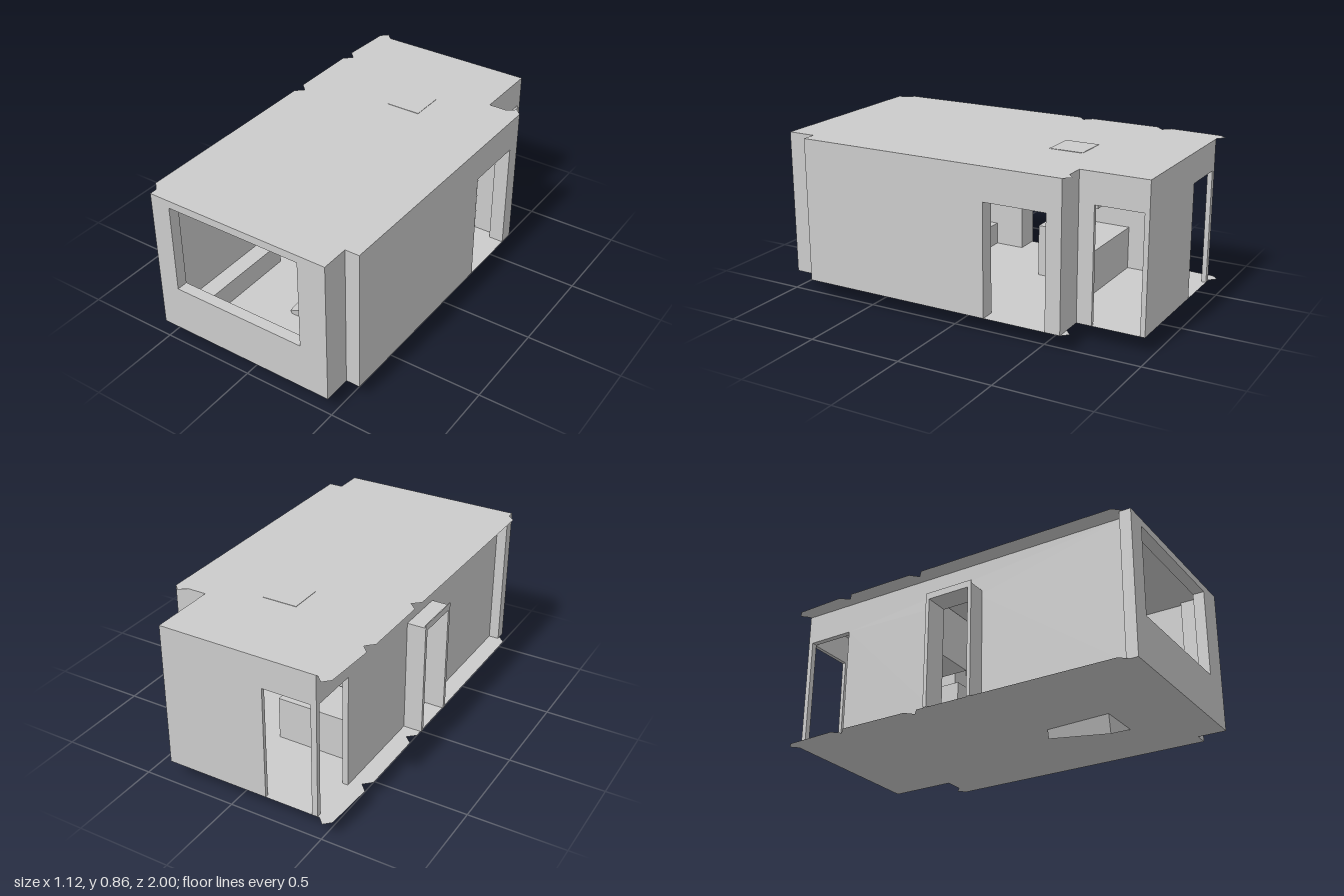
import * as THREE from 'three';

const FLOOR = 0.09, ROOF = 0.855, DOOR = 0.695;

export function createModel() {
  const room = new THREE.Group();
  room.name = 'room';
  const mat = new THREE.MeshStandardMaterial({ color: 0xcccccc, flatShading: true });
  const thinMat = new THREE.MeshStandardMaterial({ color: 0xcccccc, side: THREE.DoubleSide });

  function add(name, geometry, material = mat) {
    const mesh = new THREE.Mesh(geometry, material);
    mesh.name = name;
    room.add(mesh);
    return mesh;
  }

  // Box given by its lower and upper limits on each axis
  function box(name, x0, x1, y0, y1, z0, z1) {
    const mesh = add(name, new THREE.BoxGeometry(x1 - x0, y1 - y0, z1 - z0));
    mesh.position.set((x0 + x1) / 2, (y0 + y1) / 2, (z0 + z1) / 2);
    return mesh;
  }

  // Upright wall from u0 to u1; each door [a, b, top] is cut from the floor up
  function wallGeometry(u0, u1, depth, doors = [], win = null) {
    const pts = [[u0, FLOOR]];
    for (const [a, b, top] of doors) pts.push([a, FLOOR], [a, top], [b, top], [b, FLOOR]);
    pts.push([u1, FLOOR], [u1, ROOF], [u0, ROOF]);
    const shape = new THREE.Shape(pts.map(p => new THREE.Vector2(...p)));
    if (win) {
      const [a, b, y0, y1] = win;
      shape.holes.push(new THREE.Path([[a, y0], [a, y1], [b, y1], [b, y0]].map(p => new THREE.Vector2(...p))));
    }
    return new THREE.ExtrudeGeometry(shape, { depth, bevelEnabled: false });
  }

  // Wall across the room, its rear face at z
  function crossWall(name, x0, x1, z, depth, doors, win) {
    add(name, wallGeometry(x0, x1, depth, doors, win)).position.z = z;
  }

  // Wall along the room, its right-hand limit at x
  function sideWall(name, z0, z1, x, depth, doors) {
    add(name, wallGeometry(z0, z1, depth, doors).rotateY(-Math.PI / 2)).position.x = x;
  }

  // Thin floor and roof sheets with the notched outline
  const outline = [
    [-0.515, 1], [0.48, 1], [0.48, 0.85], [0.555, 0.85], [0.555, -0.61], [0.52, -0.645],
    [0.48, -0.61], [0.38, -0.61], [0.38, -0.965], [-0.47, -0.965], [-0.505, -1], [-0.54, -0.965],
    [-0.553, -0.69], [-0.515, -0.65], [-0.555, -0.61], [-0.555, -0.235], [-0.515, -0.197],
    [-0.555, -0.16], [-0.555, 0.92], [-0.515, 0.96],
  ];
  const sheet = new THREE.Shape(outline.map(([x, z]) => new THREE.Vector2(x, -z)));
  for (const [name, y] of [['floor', FLOOR], ['roof', ROOF]]) {
    add(name, new THREE.ShapeGeometry(sheet).rotateX(-Math.PI / 2), thinMat).position.y = y;
  }

  // Front wall with the large window
  crossWall('frontWall', -0.515, 0.48, 0.94, 0.06, [], [-0.405, 0.33, 0.34, 0.815]);

  // Right side: corner return, long wall with a doorway, step and recessed wall
  sideWall('frontCorner', 0.85, 0.94, 0.48, 0.03);
  crossWall('frontStep', 0.45, 0.555, 0.82, 0.03);
  sideWall('rightWall', -0.61, 0.82, 0.555, 0.08, [[-0.53, -0.195, 0.68]]);
  crossWall('rearStep', 0.36, 0.475, -0.61, 0.04);
  sideWall('recessWall', -0.965, -0.61, 0.38, 0.02, [[-0.94, -0.69, DOOR]]);

  // Back wall and left wall, open at their shared corner
  crossWall('backWall', -0.46, 0.36, -0.965, 0.02, [[-0.43, -0.175, DOOR]]);
  sideWall('leftWall', -0.945, 0.94, -0.43, 0.03, [[-0.94, -0.69, DOOR], [-0.1, 0.13, 0.675]]);

  // Frame standing out from the left doorway, with a thin trim
  for (const [z0, z1] of [[-0.12, -0.1], [0.13, 0.15]]) {
    box('doorJamb', -0.555, -0.46, FLOOR, DOOR, z0, z1);
    box('doorTrim', -0.56, -0.555, FLOOR, 0.71, z0, z1);
  }
  box('doorHead', -0.555, -0.46, 0.675, DOOR, -0.1, 0.13);
  box('doorHeadTrim', -0.56, -0.555, 0.675, 0.71, -0.1, 0.13);

  // Furniture inside
  box('bench', -0.43, -0.34, FLOOR, 0.21, 0.29, 0.94);
  box('counter', -0.43, 0.035, FLOOR, 0.32, -0.52, -0.27);
  box('counterPanel', -0.22, -0.1, FLOOR, 0.365, -0.255, -0.15);
  box('wallCabinet', -0.43, 0.012, 0.55, 0.85, -0.54, -0.255);
  box('cabinetEnd', 0.012, 0.035, 0.625, 0.85, -0.54, -0.255);
  box('ceilingLamp', -0.065, 0.12, 0.813, 0.857, -0.5, -0.32);

  // Tilted block that pokes through the floor, hung by its lowest corner
  const block = add('tiltedBlock', new THREE.BoxGeometry(0.23, 0.12, 0.35).translate(0.115, 0.06, -0.175));
  block.rotation.set(0.135, 0, 0.425);
  block.position.set(0.015, 0.001, 0.59);

  return room;
}
